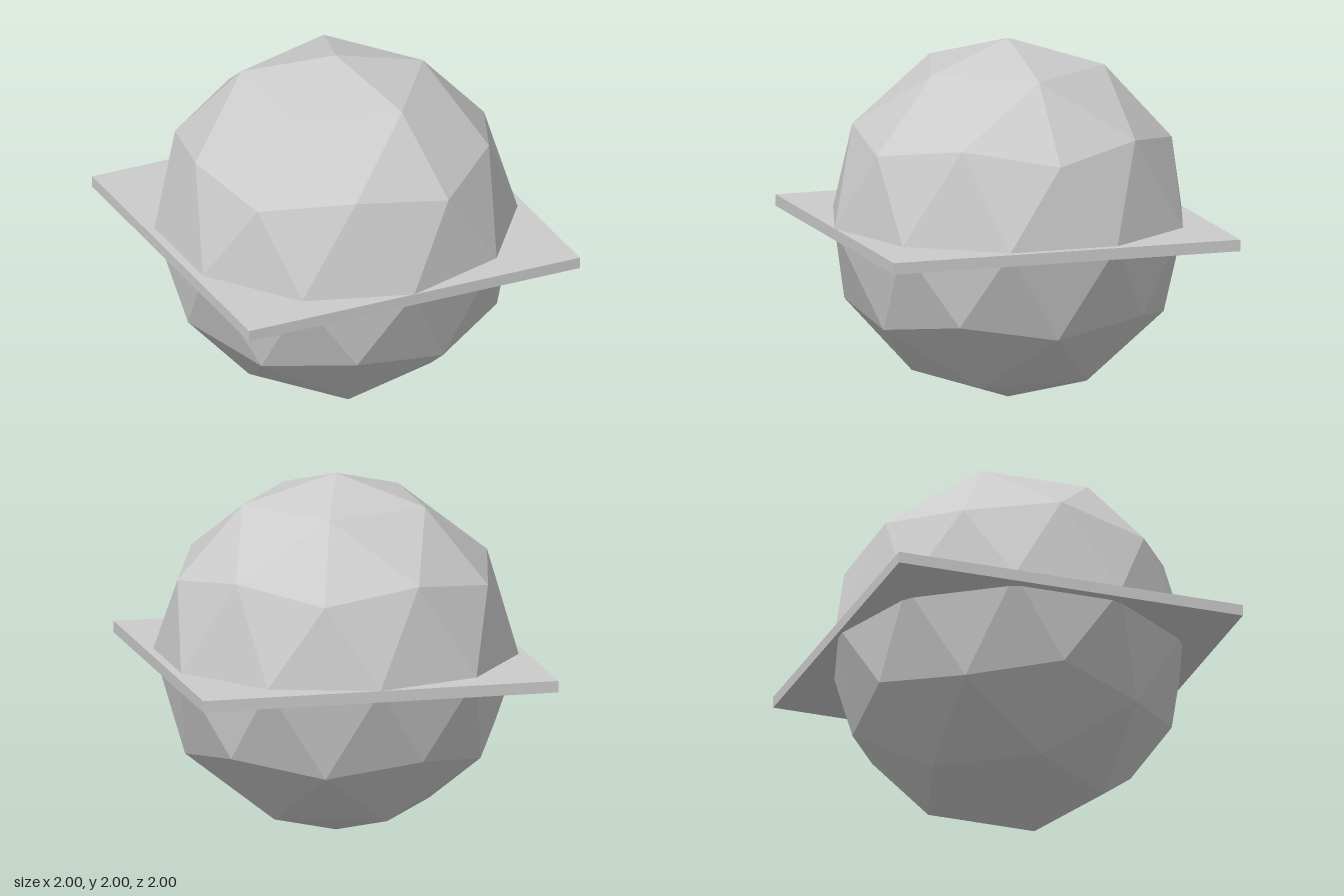
import * as THREE from 'three';

export function createModel() {
  const group = new THREE.Group();
  const material = new THREE.MeshStandardMaterial({ color: 0xcccccc, flatShading: true });

  // Faceted ball: icosahedron split once, turned so one corner points straight up
  const golden = (1 + Math.sqrt(5)) / 2;
  const ballGeometry = new THREE.IcosahedronGeometry(1, 1);
  ballGeometry.rotateZ(-Math.atan(1 / golden));
  ballGeometry.computeVertexNormals();
  const ball = new THREE.Mesh(ballGeometry, material);
  ball.name = 'ball';
  ball.position.y = 1;
  group.add(ball);

  // Thin square plate around the ball, its top level with the equator
  const thickness = 0.064;
  const plate = new THREE.Mesh(new THREE.BoxGeometry(2, thickness, 2), material);
  plate.name = 'squarePlate';
  plate.position.y = 1 - thickness / 2;
  group.add(plate);

  return group;
}
